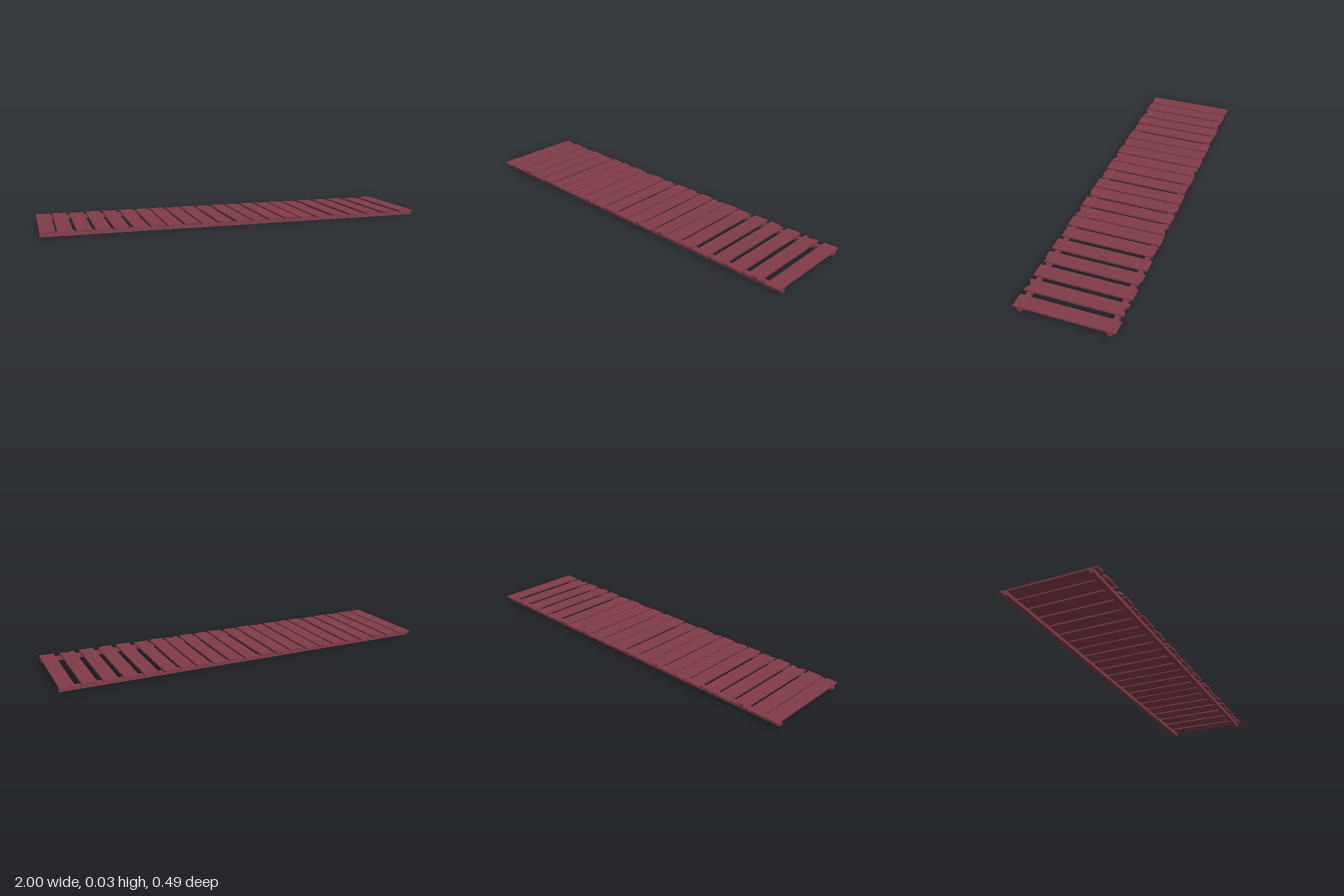
import * as THREE from 'three';

const HALF_LENGTH = 0.246, HALF_WIDTH = 0.037;
const RAIL_TOP = 0.018, PLANK_THICKNESS = 0.009;

// End outlines: [position across the plank (-1..1), depth cut from the end]
const straightEnd = [[-1, 0], [1, 0]];
const wornEnds = [
  [[-1, 0], [0.25, 0], [0.6, 0.011], [1, 0.004]],
  [[-1, 0], [-0.75, 0.001], [-0.05, 0.017], [0.75, 0.002], [1, 0.002]],
  [[-1, 0.001], [-0.6, 0.008], [0.1, 0.003], [0.6, 0.009], [1, 0.004]],
];

// Plank outline drawn flat, extruded to its thickness, then laid down
function plankGeometry(end) {
  const back = end.map(([u, d]) => new THREE.Vector2(u * HALF_WIDTH, HALF_LENGTH - d));
  const front = end.map(([u, d]) => new THREE.Vector2(u * HALF_WIDTH, -HALF_LENGTH + d)).reverse();
  const geometry = new THREE.ExtrudeGeometry(new THREE.Shape([...back, ...front]), {
    depth: PLANK_THICKNESS, bevelEnabled: false,
  });
  return geometry.rotateX(-Math.PI / 2);
}

export function createModel() {
  const model = new THREE.Group();
  model.name = 'plankWalkway';
  const wood = new THREE.MeshStandardMaterial({ color: 0x803c48 });

  // Two long rails under the planks
  const railGeometry = new THREE.BoxGeometry(2, RAIL_TOP, 0.024);
  for (const side of [-1, 1]) {
    const rail = new THREE.Mesh(railGeometry, wood);
    rail.name = side > 0 ? 'frontRail' : 'backRail';
    rail.position.set(0, RAIL_TOP / 2, side * 0.215);
    model.add(rail);
  }

  // Cross planks, unevenly spaced; every second one has worn ends
  const centres = [
    -0.963, -0.88, -0.79, -0.70, -0.61, -0.517, -0.43, -0.345, -0.256, -0.17, -0.08,
    0.013, 0.10, 0.19, 0.28, 0.365, 0.455, 0.556, 0.655, 0.755, 0.857, 0.963,
  ];
  const straight = plankGeometry(straightEnd);
  const worn = wornEnds.map(plankGeometry);
  centres.forEach((x, i) => {
    const plank = new THREE.Mesh(i % 2 ? straight : worn[(i / 2) % worn.length], wood);
    plank.name = `plank${i + 1}`;
    plank.position.set(x, RAIL_TOP, 0);
    model.add(plank);
  });
  return model;
}
